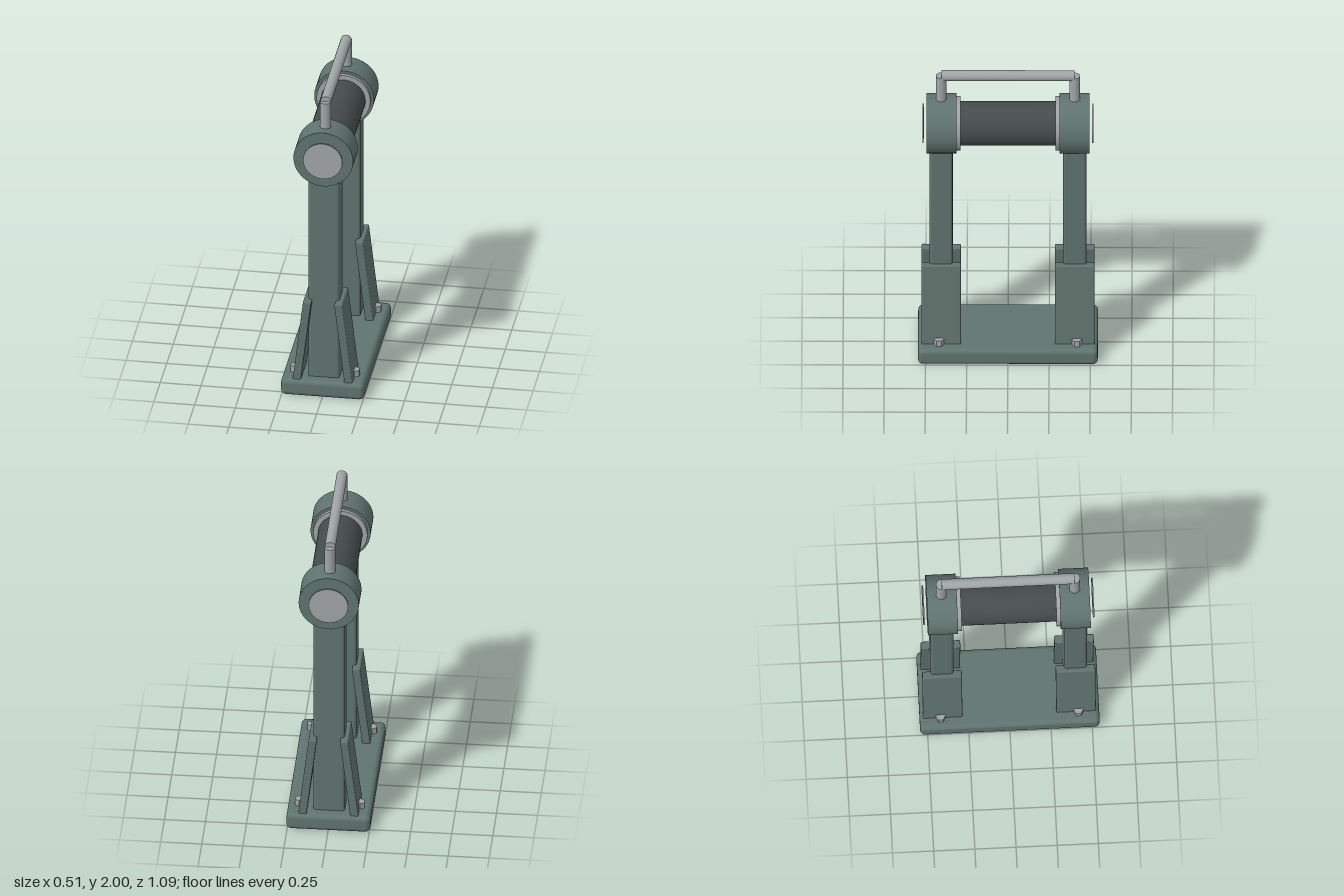
import * as THREE from 'three';
import { RoundedBoxGeometry } from 'three/addons/geometries/RoundedBoxGeometry.js';

const paint = new THREE.MeshStandardMaterial({ color: 0x60746f });
const steel = new THREE.MeshStandardMaterial({ color: 0xa0a5a6 });
const rubber = new THREE.MeshStandardMaterial({ color: 0x454c4c });

const AXLE_Y = 1.615; // height of the roller axis
const POST_Z = 0.405; // distance of each upright from the centre

export function createModel() {
  const model = new THREE.Group();

  const add = (name, geometry, material, x, y, z, parent = model) => {
    const mesh = new THREE.Mesh(geometry, material);
    mesh.name = name;
    mesh.position.set(x, y, z);
    parent.add(mesh);
    return mesh;
  };
  const box = (w, h, d, r) => new RoundedBoxGeometry(w, h, d, 3, r);
  const rod = (r, length, sides = 48) => new THREE.CylinderGeometry(r, r, length, sides);
  const rodZ = (r, length, sides) => rod(r, length, sides).rotateX(Math.PI / 2);

  // Base plate and roller
  add('basePlate', box(0.51, 0.11, 1.09, 0.03), paint, 0, 0.055, 0);
  add('roller', rodZ(0.135, 0.66), rubber, 0, AXLE_Y, 0);

  // Two matching supports, one at each end
  for (const end of [1, -1]) {
    const support = new THREE.Group();
    support.name = end > 0 ? 'frontSupport' : 'backSupport';
    model.add(support);
    const z = end * POST_Z;

    add('column', box(0.19, 1.45, 0.14, 0.018), paint, 0, 0.805, z, support);
    add('hub', rodZ(0.183, 0.182, 64), paint, 0, AXLE_Y, end * 0.403, support);
    add('collar', rodZ(0.165, 0.04), steel, 0, AXLE_Y, end * 0.308, support);
    add('endCap', rodZ(0.12, 0.008), steel, 0, AXLE_Y, end * 0.515, support);
    add('handlePost', rod(0.033, 0.2, 24), steel, 0, 1.867, z, support);

    // Leaning braces with a bolt at each foot
    for (const side of [1, -1]) {
      const brace = add('brace', box(0.05, 0.545, 0.24, 0.009), paint, side * 0.127, 0.37, z, support);
      brace.rotation.z = side * 0.117;
      const bolt = rod(0.03, 0.05, 6).toNonIndexed();
      bolt.computeVertexNormals();
      add('bolt', bolt, steel, side * 0.185, 0.125, end * 0.418, support);
    }
  }

  // Bar joining the two handle posts
  add('handleBar', rodZ(0.033, 0.806, 24), steel, 0, 1.967, 0);

  return model;
}
